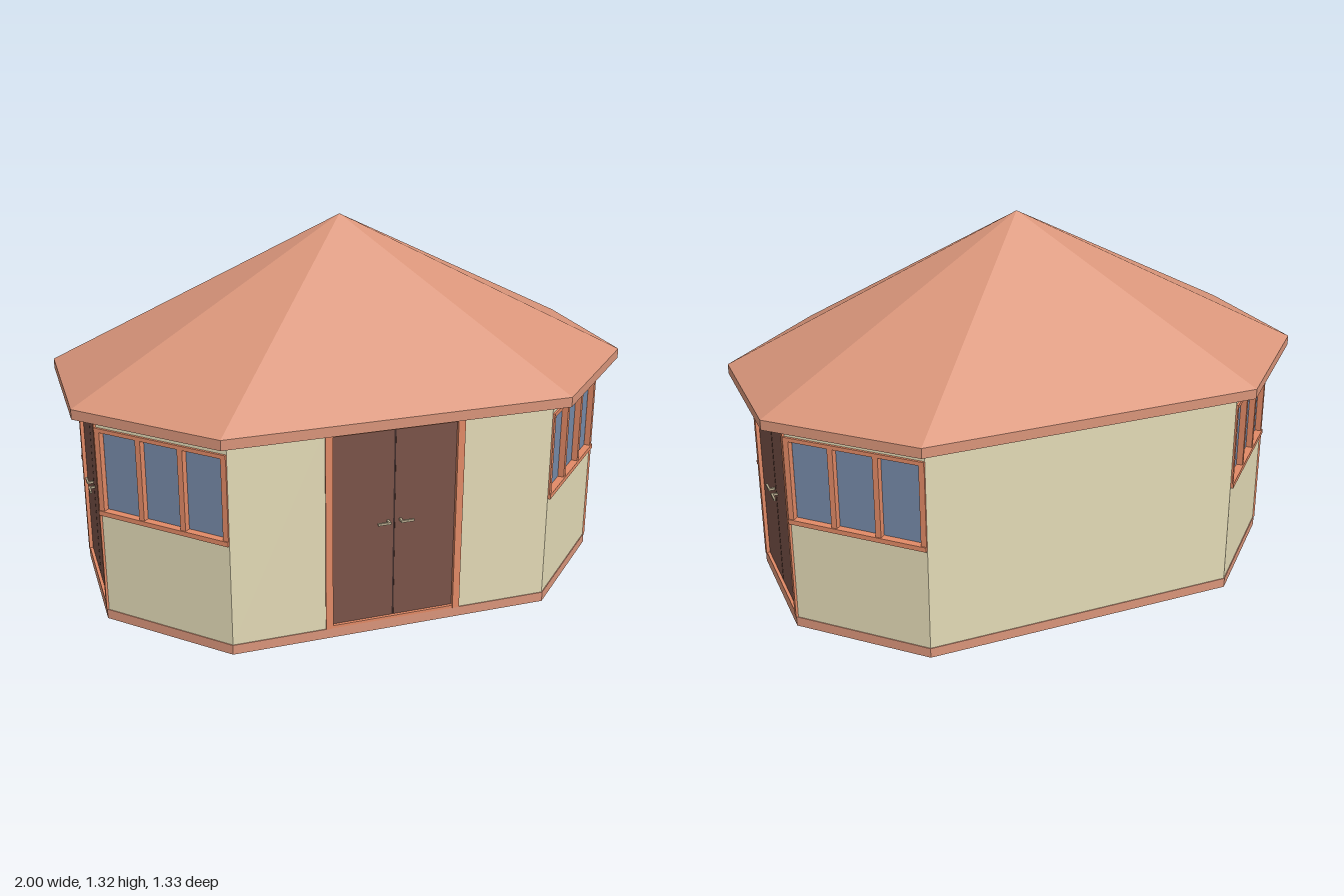
import * as THREE from 'three';

const mat = (name, color) => {
  const m = new THREE.MeshStandardMaterial({ color });
  m.name = name;
  return m;
};

// Elongated octagon outline, anticlockwise seen from above, first edge at the front
const octagon = (x, z, cx, cz) => [
  [-cx, z], [cx, z], [x, cz], [x, -cz], [cx, -z], [-cx, -z], [-x, -cz], [-x, cz],
];
const WALL = octagon(0.925, 0.6, 0.565, 0.24);
const BASE = octagon(0.928, 0.603, 0.566, 0.241);
const EAVES = octagon(1, 0.667, 0.597, 0.265);
const POINT = WALL.map(() => [0, 0]);

// Joins horizontal outlines [points, y] from bottom to top with flat faces
function loft(sections) {
  const pos = [];
  for (let s = 0; s < sections.length - 1; s++) {
    const [lo, y0] = sections[s], [hi, y1] = sections[s + 1];
    lo.forEach((p, i) => {
      const j = (i + 1) % lo.length;
      const a = [p[0], y0, p[1]], b = [lo[j][0], y0, lo[j][1]];
      const c = [hi[j][0], y1, hi[j][1]], d = [hi[i][0], y1, hi[i][1]];
      if (lo !== POINT) pos.push(...a, ...b, ...(hi === POINT ? d : c));
      if (hi !== POINT) pos.push(...a, ...c, ...d);
    });
  }
  const g = new THREE.BufferGeometry();
  g.setAttribute('position', new THREE.Float32BufferAttribute(pos, 3));
  g.computeVertexNormals();
  return g;
}

export function createModel() {
  const roofMat = mat('roof terracotta', 0xd9957a);
  const wallMat = mat('wall cream', 0xe3dab6);
  const frameMat = mat('frame orange', 0xe28a66);
  const doorMat = mat('door brown', 0x7a5348);
  const glassMat = mat('glass blue', 0x768aa8);
  const seamMat = mat('seam dark', 0x3f2c2a);
  const handleMat = mat('handle metal', 0xb5a88c);

  const model = new THREE.Group();
  model.name = 'pavilion';

  // Box given by its limits on each axis
  const box = (parent, name, material, x0, x1, y0, y1, z0, z1) => {
    const m = new THREE.Mesh(new THREE.BoxGeometry(x1 - x0, y1 - y0, z1 - z0), material);
    m.position.set((x0 + x1) / 2, (y0 + y1) / 2, (z0 + z1) / 2);
    m.name = name;
    parent.add(m);
  };
  const lofted = (name, material, sections) => {
    const m = new THREE.Mesh(loft(sections), material);
    m.name = name;
    model.add(m);
  };

  // Plinth and roof
  lofted('plinth', roofMat, [[POINT, 0], [BASE, 0], [BASE, 0.035], [POINT, 0.035]]);
  lofted('roof', roofMat, [[POINT, 0.765], [EAVES, 0.765], [EAVES, 0.8], [POINT, 1.32]]);

  const Y0 = 0.035, Y1 = 0.765, T = 0.03;

  // Double door in a frame, with wall on both sides where the side is wide
  function addDoor(g, w) {
    const outer = Math.min(0.243, w / 2 + 0.003), inner = 0.218;
    box(g, 'doorHeader', frameMat, -inner, inner, 0.736, Y1, -T, 0.005);
    box(g, 'doorSill', frameMat, -inner, inner, Y0, 0.045, -T, 0.003);
    box(g, 'doorSeam', seamMat, -0.003, 0.003, 0.045, 0.736, -0.02, -0.009);
    for (const s of [-1, 1]) {
      const span = (a, b) => (s > 0 ? [a, b] : [-b, -a]);
      box(g, 'doorPost', frameMat, ...span(inner, outer), Y0, Y1, -T, 0.005);
      box(g, 'doorLeaf', doorMat, ...span(0.003, inner), 0.045, 0.736, -T, -0.008);
      box(g, 'handleStem', handleMat, ...span(0.018, 0.026), 0.401, 0.409, -0.008, 0.01);
      box(g, 'handleBar', handleMat, ...span(0.018, 0.064), 0.401, 0.409, 0.008, 0.015);
      if (w / 2 > outer) box(g, 'wall', wallMat, ...span(outer, w / 2), Y0, Y1, -T, 0);
    }
  }

  // Three recessed panes between posts, wall above and below
  function addWindow(g, w) {
    const h = w / 2, b = 0.402, t = 0.72, post = 0.02;
    box(g, 'wall', wallMat, -h, h, Y0, b, -T, 0);
    box(g, 'wallAbove', wallMat, -h, h, t, Y1, -T, 0);
    box(g, 'windowSill', frameMat, -h, h, b, b + 0.017, -T, 0.01);
    box(g, 'windowHeader', frameMat, -h, h, t - 0.014, t, -T, 0.008);
    box(g, 'windowGlass', glassMat, -h, h, b, t, -T, -0.016);
    for (let i = 0; i < 4; i++) {
      const x = -h + (i * (w - post)) / 3;
      box(g, 'windowPost', frameMat, x, x + post, b + 0.017, t - 0.014, -T, 0.006);
    }
  }

  // Eight sides, each built facing +z and turned into place
  WALL.forEach(([x, z], i) => {
    const [x2, z2] = WALL[(i + 1) % 8];
    const w = Math.hypot(x2 - x, z2 - z);
    const side = new THREE.Group();
    side.position.set((x + x2) / 2, 0, (z + z2) / 2);
    side.rotation.y = Math.atan2(z - z2, x2 - x);
    if (i % 2) {
      side.name = 'windowSide';
      addWindow(side, w);
    } else if (i === 4) {
      side.name = 'backSide';
      box(side, 'wall', wallMat, -w / 2, w / 2, Y0, Y1, -T, 0);
    } else {
      side.name = 'doorSide';
      addDoor(side, w);
    }
    model.add(side);
  });

  return model;
}
